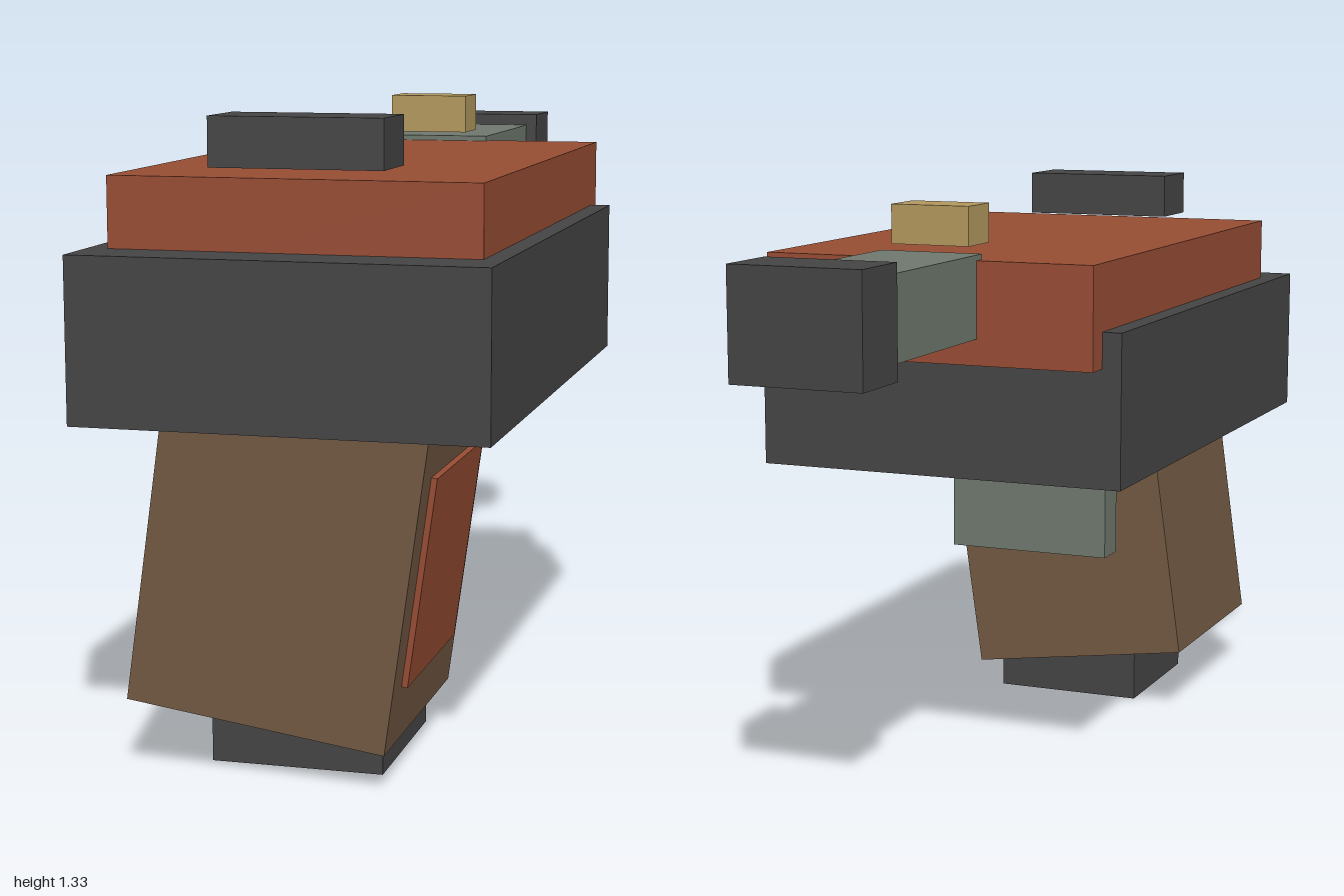
import * as THREE from 'three';

const material = (name, color) => {
  const m = new THREE.MeshStandardMaterial({ color });
  m.name = name;
  return m;
};

// Box given by its extents along each axis
function block(parent, name, mat, [x0, x1], [y0, y1], [z0, z1]) {
  const mesh = new THREE.Mesh(new THREE.BoxGeometry(x1 - x0, y1 - y0, z1 - z0), mat);
  mesh.position.set((x0 + x1) / 2, (y0 + y1) / 2, (z0 + z1) / 2);
  mesh.name = name;
  parent.add(mesh);
  return mesh;
}

export function createModel() {
  const model = new THREE.Group();
  model.name = 'blockyPistol';

  const charcoal = material('charcoal', 0x444444);
  const rust = material('rust', 0x964c33);
  const brown = material('brown', 0x715842);
  const steel = material('greenGrey steel', 0x6e776d);
  const brass = material('brass', 0xb1975d);

  // Frame and slide
  block(model, 'frame', charcoal, [-0.432, 0.432], [0.716, 1.06], [-0.325, 1]);
  block(model, 'slide', rust, [-0.388, 0.388], [0.98, 1.208], [-0.383, 0.873]);

  // Barrel and muzzle
  block(model, 'barrel', steel, [-0.12, 0.12], [1.038, 1.22], [-0.86, -0.352]);
  block(model, 'muzzle', charcoal, [-0.147, 0.147], [1.01, 1.248], [-1, -0.842]);

  // Sights hover just above the slide
  block(model, 'rearSight', charcoal, [-0.182, 0.182], [1.225, 1.328], [0.692, 0.848]);
  block(model, 'frontSight', brass, [-0.092, 0.092], [1.235, 1.322], [-0.36, -0.248]);

  // Grip leans sideways and carries a raised panel on its left face
  const grip = new THREE.Group();
  grip.name = 'grip';
  grip.position.set(0, 0.507, 0.704);
  grip.rotation.z = -0.14;
  block(grip, 'gripBody', brown, [-0.2725, 0.2725], [-0.394, 0.394], [-0.273, 0.273]);
  block(grip, 'gripPanel', rust, [0.26, 0.285], [-0.27, 0.164], [-0.204, 0.202]);
  model.add(grip);

  // Magazine base
  block(model, 'magazineBase', charcoal, [-0.182, 0.182], [0, 0.127], [0.5, 0.864]);

  // Trigger post and the bar joining it to the grip
  block(model, 'triggerBar', steel, [-0.2, 0.2], [0.668, 0.735], [0.3, 0.45]);
  block(model, 'triggerPost', steel, [-0.2, 0.2], [0.432, 0.735], [0.22, 0.3]);

  return model;
}
